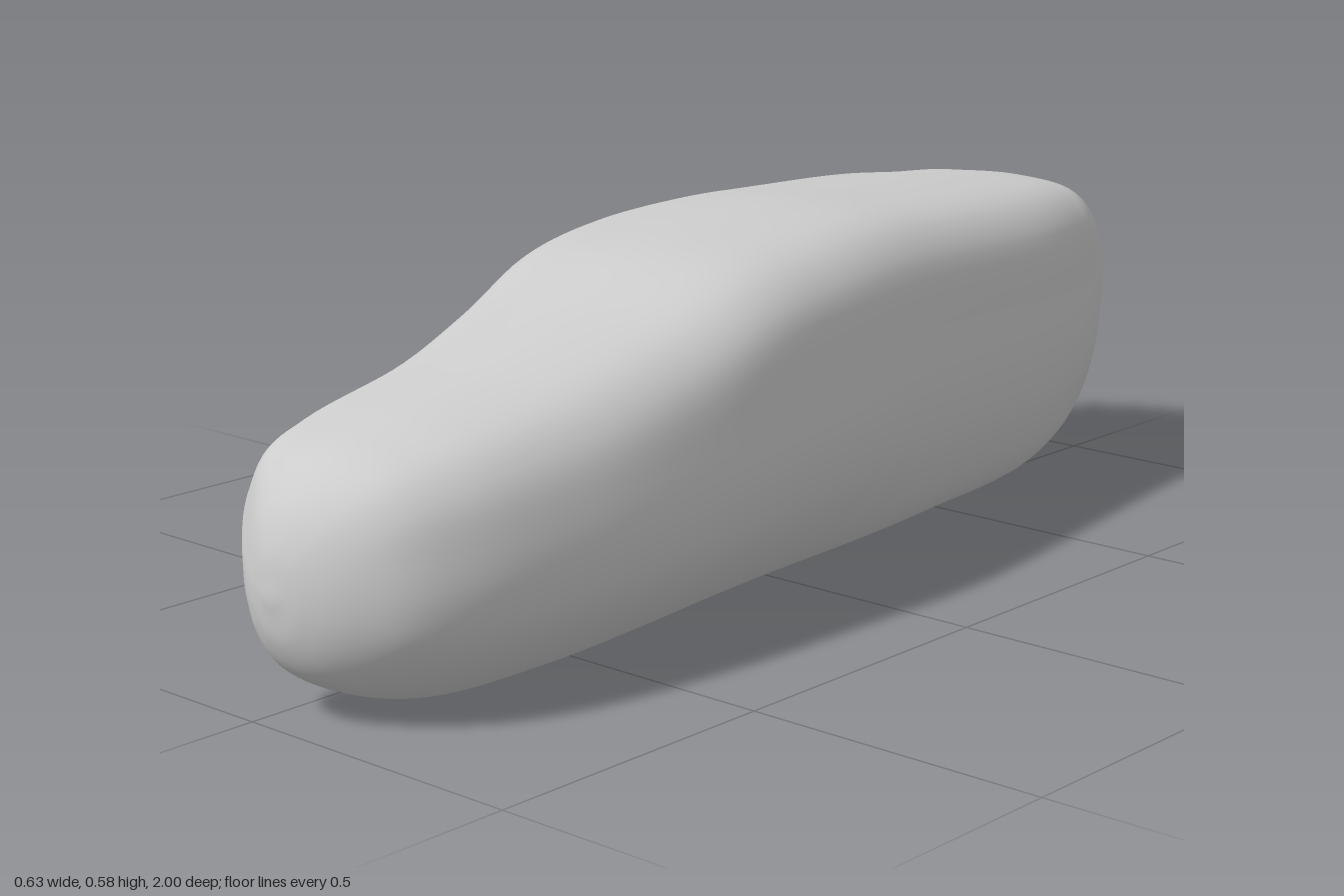
import * as THREE from 'three';

const { lerp, smoothstep } = THREE.MathUtils;

// Stations from back to front:
// z, bottom, top, wall x (below the overhang), ridge x, right x, ridge y
const STATIONS = [
  [-1.0, 0.41, 0.43, -0.03, -0.04, 0.0, 0.42],
  [-0.985, 0.33, 0.475, -0.12, -0.12, 0.045, 0.42],
  [-0.95, 0.23, 0.505, -0.2, -0.2, 0.085, 0.43],
  [-0.9, 0.11, 0.522, -0.245, -0.26, 0.115, 0.45],
  [-0.85, 0.055, 0.532, -0.262, -0.292, 0.135, 0.46],
  [-0.7, 0.012, 0.545, -0.268, -0.31, 0.18, 0.48],
  [-0.4, 0.004, 0.565, -0.215, -0.315, 0.225, 0.49],
  [-0.2, 0.0, 0.576, -0.17, -0.31, 0.255, 0.49],
  [0.0, 0.0, 0.57, -0.15, -0.305, 0.29, 0.485],
  [0.2, 0.004, 0.55, -0.135, -0.275, 0.315, 0.46],
  [0.4, 0.006, 0.495, -0.11, -0.21, 0.318, 0.41],
  [0.6, 0.006, 0.445, -0.065, -0.155, 0.31, 0.365],
  [0.8, 0.01, 0.403, -0.045, -0.135, 0.28, 0.33],
  [0.9, 0.035, 0.37, -0.04, -0.11, 0.235, 0.29],
  [0.96, 0.07, 0.32, -0.02, -0.06, 0.17, 0.24],
  [0.99, 0.12, 0.26, 0.01, -0.005, 0.108, 0.2],
  [1.0, 0.18, 0.2, 0.04, 0.035, 0.06, 0.19],
];

// Rounded section with an overhanging ridge on its -x side
function section([z, b, t, wall, ridge, r, ry]) {
  const w = r - ridge, h = t - b, lip = ry - b;
  const square = 1 - smoothstep(z, 0.15, 0.6); // fuller shoulder behind the nose
  const heel = 1 - smoothstep(z, -0.4, 0.15); // fuller lower right edge at the back
  const chin = smoothstep(z, 0.3, 0.8); // tighter lower left edge on the nose
  const pts = [
    [r - lerp(0.13, 0.09, heel) * w, b + lerp(0.15, 0.13, heel) * h],
    [r - lerp(0.03, 0.015, heel) * w, b + 0.3 * h],
    [r, b + 0.46 * h], [r - 0.02 * w, b + 0.64 * h],
    [r - lerp(0.08, 0.065, square) * w, b + lerp(0.82, 0.86, square) * h],
    [r - lerp(0.2, 0.18, square) * w, b + lerp(0.94, 0.965, square) * h],
    [r - 0.45 * w, t], [ridge + 0.3 * w, t - 0.01 * h],
    [ridge + 0.12 * w, t - 0.03 * h], [ridge + 0.03 * w, b + lip + 0.08 * h],
    [ridge, b + lip - 0.01 * h], [ridge * 0.7 + wall * 0.3, b + lip * 0.86],
    [ridge * 0.2 + wall * 0.8, b + lip * 0.68], [wall, b + lip * 0.42],
    [wall + lerp(0.025, 0.01, chin) * w, b + 0.2 * h],
    [wall + lerp(0.1, 0.06, chin) * w, b + 0.085 * h],
    [wall + lerp(0.25, 0.16, chin) * w, b + 0.02 * h],
    [wall * 0.55 + r * 0.45, b],
    [r - lerp(0.28, 0.22, heel) * w, b + 0.035 * h],
  ];
  // Towards both ends the section becomes a plain oval
  const oval = smoothstep(Math.abs(z), 0.89, 1);
  const cx = (ridge + r) / 2, cy = (b + t) / 2;
  return new THREE.CatmullRomCurve3(pts.map(([x, y]) => {
    const len = Math.hypot((x - cx) / (w / 2), (y - cy) / (h / 2));
    const k = lerp(1, 1 / len, oval);
    return new THREE.Vector3(cx + (x - cx) * k, cy + (y - cy) * k, z);
  }), true, 'centripetal');
}

// Smooth closed skin through all the stations
function bodyGeometry(around = 96, along = 120) {
  const rings = STATIONS.map((s) => {
    const curve = section(s);
    return Array.from({ length: around }, (_, j) => curve.getPoint(j / around));
  });
  const rails = Array.from({ length: around }, (_, j) =>
    new THREE.CatmullRomCurve3(rings.map((ring) => ring[j]), false, 'centripetal'));
  const pos = [], index = [];
  for (let i = 0; i <= along; i++) {
    for (let j = 0; j < around; j++) {
      const p = rails[j].getPoint(i / along);
      // Slight unevenness along the ridge
      const onRidge = Math.exp(-(((j / around - 10 / 19) / 0.04) ** 2));
      const fade = Math.exp(-(((p.z - 0.2) / 0.5) ** 2));
      p.x += 0.003 * onRidge * fade * (Math.sin(p.z * 23) + Math.sin(p.z * 37));
      pos.push(p.x, p.y, p.z);
      if (i < along) {
        const a = i * around + j, b = i * around + (j + 1) % around;
        index.push(a, b, a + around, b, b + around, a + around);
      }
    }
  }
  // End caps
  for (const [row, flip] of [[0, true], [along, false]]) {
    const c = new THREE.Vector3();
    for (let j = 0; j < around; j++) {
      const k = (row * around + j) * 3;
      c.add(new THREE.Vector3(pos[k], pos[k + 1], pos[k + 2]));
    }
    c.divideScalar(around);
    const centre = pos.length / 3;
    pos.push(c.x, c.y, c.z);
    for (let j = 0; j < around; j++) {
      const a = row * around + j, b = row * around + (j + 1) % around;
      index.push(centre, flip ? b : a, flip ? a : b);
    }
  }
  const g = new THREE.BufferGeometry();
  g.setAttribute('position', new THREE.Float32BufferAttribute(pos, 3));
  g.setIndex(index);
  g.computeVertexNormals();
  return g;
}

export function createModel() {
  const group = new THREE.Group();
  group.name = 'model';
  const body = new THREE.Mesh(bodyGeometry(),
    new THREE.MeshStandardMaterial({ color: 0xcccccc }));
  body.name = 'body';
  group.add(body);
  return group;
}
